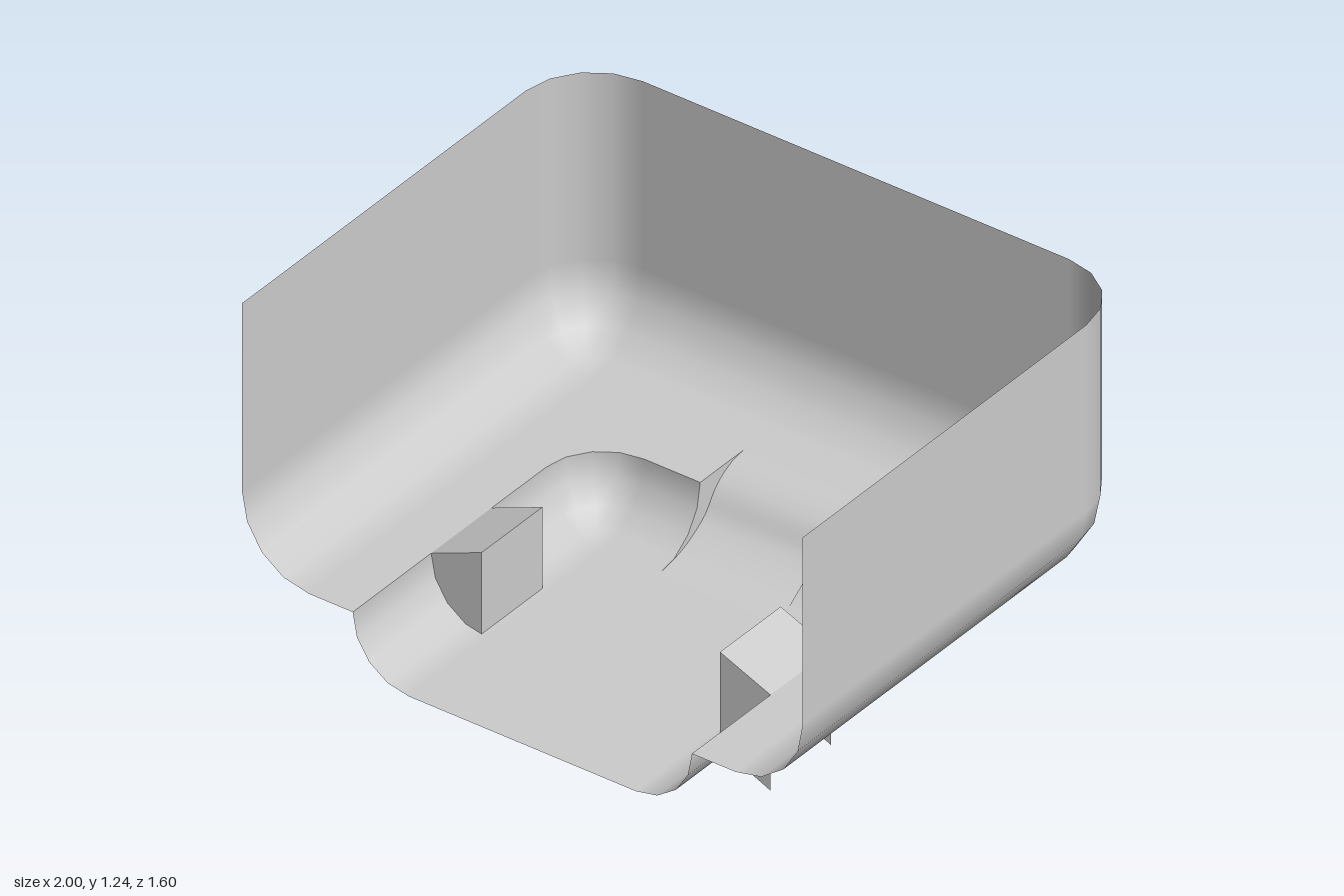
import * as THREE from 'three';

const mat = new THREE.MeshStandardMaterial({ color: 0xcccccc, side: THREE.DoubleSide });
const FRONT = 0.795, FLOOR = 0.33, BASE = 0.12, SLOT = 0.205, STEPS = 4;

function buildMesh(name, geometry) {
  const mesh = new THREE.Mesh(geometry, mat);
  mesh.name = name;
  return mesh;
}

// Flat panel: a 2D outline carried into space by the rule place(u, v)
function panel(name, outline, place) {
  const geo = new THREE.ShapeGeometry(new THREE.Shape(outline.map(p => new THREE.Vector2(...p))));
  const pos = geo.attributes.position;
  for (let i = 0; i < pos.count; i++) pos.setXYZ(i, ...place(pos.getX(i), pos.getY(i)));
  geo.computeVertexNormals();
  return buildMesh(name, geo);
}

// U-shaped path round left side, back and right side: centre point plus outward direction
function uPath(cx, cz, slot) {
  const path = [[-cx, FRONT, -1, 0]];
  const corner = (side, k) => {
    const a = (k / STEPS) * Math.PI / 2;
    return [side * cx, cz, side * Math.cos(a), -Math.sin(a)];
  };
  for (let k = 0; k <= STEPS; k++) path.push(corner(-1, k));
  if (slot) path.push([-slot, cz, 0, -1], [slot, cz, 0, -1]);
  for (let k = STEPS; k >= 0; k--) path.push(corner(1, k));
  path.push([cx, FRONT, 1, 0]);
  return path;
}

// Rounded basin wall: quarter-round from the wall down to the bottom, with optional straight wall above
function basin(name, path, r, v, bottom, top, slot) {
  const rows = top ? [[0, top]] : [];
  for (let k = 0; k <= STEPS; k++) {
    const a = (k / STEPS) * Math.PI / 2;
    rows.push([a, bottom + v * (1 - Math.sin(a))]);
  }
  const pos = [], nor = [], idx = [], n = path.length;
  for (const [a, y] of rows) {
    for (const [cx, cz, dx, dz] of path) {
      const c = Math.cos(a);
      pos.push(cx + dx * r * c, y, cz + dz * r * c);
      nor.push(dx * c, -Math.sin(a), dz * c);
    }
  }
  for (let j = 0; j < rows.length - 1; j++) {
    for (let i = 0; i < n - 1; i++) {
      if (slot && i === n / 2 - 1) continue; // gap for the ramp
      const a = j * n + i, b = a + 1, d = a + n, c = d + 1;
      idx.push(a, b, d, b, c, d);
    }
  }
  const geo = new THREE.BufferGeometry();
  geo.setAttribute('position', new THREE.Float32BufferAttribute(pos, 3));
  geo.setAttribute('normal', new THREE.Float32BufferAttribute(nor, 3));
  geo.setIndex(idx);
  return buildMesh(name, geo);
}

// S-curved ramp at the back of the recess, with a cheek on each side
function createRamp() {
  const ramp = new THREE.Group();
  ramp.name = 'backRamp';
  const curve = new THREE.SplineCurve([
    [-0.54, 0.33], [-0.48, 0.32], [-0.42, 0.288], [-0.385, 0.25],
    [-0.355, 0.208], [-0.30, 0.17], [-0.23, 0.139], [-0.13, 0.12],
  ].map(p => new THREE.Vector2(...p)));
  const profile = curve.getPoints(14);

  const geo = new THREE.PlaneGeometry(2 * SLOT, 1, 1, profile.length - 1);
  const pos = geo.attributes.position;
  for (let i = 0; i < pos.count; i++) {
    const p = profile[Math.floor(i / 2)];
    pos.setXYZ(i, pos.getX(i), p.y, p.x);
  }
  geo.computeVertexNormals();
  ramp.add(buildMesh('rampSurface', geo));

  const outline = profile.map(p => [p.x, p.y]);
  for (let k = STEPS - 1; k >= 0; k--) {
    const a = (k / STEPS) * Math.PI / 2;
    outline.push([-0.13 - 0.2 * Math.cos(a), BASE + 0.21 * (1 - Math.sin(a))]);
  }
  for (const s of [-1, 1]) ramp.add(panel('rampCheek', outline, (z, y) => [s * SLOT, y, z]));
  return ramp;
}

// Side tab: two slanted side sheets, a sloping top and an inner face, open below
function createTab(s) {
  const tab = new THREE.Group();
  tab.name = s > 0 ? 'leftTab' : 'rightTab';
  const inner = 0.425, outer = 0.605, z0 = 0.13, z1 = 0.42;
  const side = [[outer, 0.33], [inner, 0.405], [inner, 0.08], [outer, 0]];
  for (const z of [z0, z1]) tab.add(panel('tabSide', side, (x, y) => [s * x, y, z]));
  tab.add(panel('tabTop', [[inner, z0], [inner, z1], [outer, z1], [outer, z0]],
    (x, z) => [s * x, 0.33 + 0.075 * (outer - x) / (outer - inner), z]));
  tab.add(panel('tabInnerFace', [[z0, 0.08], [z1, 0.08], [z1, 0.405], [z0, 0.405]],
    (z, y) => [s * inner, y, z]));
  return tab;
}

export function createModel() {
  const model = new THREE.Group();
  model.name = 'openBasin';

  // Main basin wall and lower recess wall
  model.add(basin('outerShell', uPath(0.76, -0.56), 0.24, 0.26, FLOOR, 1.235));
  const recess = uPath(0.405, -0.13, SLOT);
  model.add(basin('recessWall', recess, 0.2, 0.21, BASE, 0, true));

  // Floor ledge around the recess and ramp slot
  const ledge = [[-0.76, FRONT], [-0.76, -0.56], [0.76, -0.56], [0.76, FRONT]];
  const rim = recess.map(([cx, cz, dx, dz]) => [cx + dx * 0.2, cz + dz * 0.2]).reverse();
  rim.splice(rim.length / 2, 0, [SLOT, -0.54], [-SLOT, -0.54]);
  model.add(panel('floorLedge', [...ledge, ...rim], (x, z) => [x, FLOOR, z]));

  // Recess floor
  model.add(panel('recessFloor', [[-0.405, FRONT], [-0.405, -0.13], [0.405, -0.13], [0.405, FRONT]],
    (x, z) => [x, BASE, z]));

  model.add(createRamp(), createTab(1), createTab(-1));
  return model;
}
